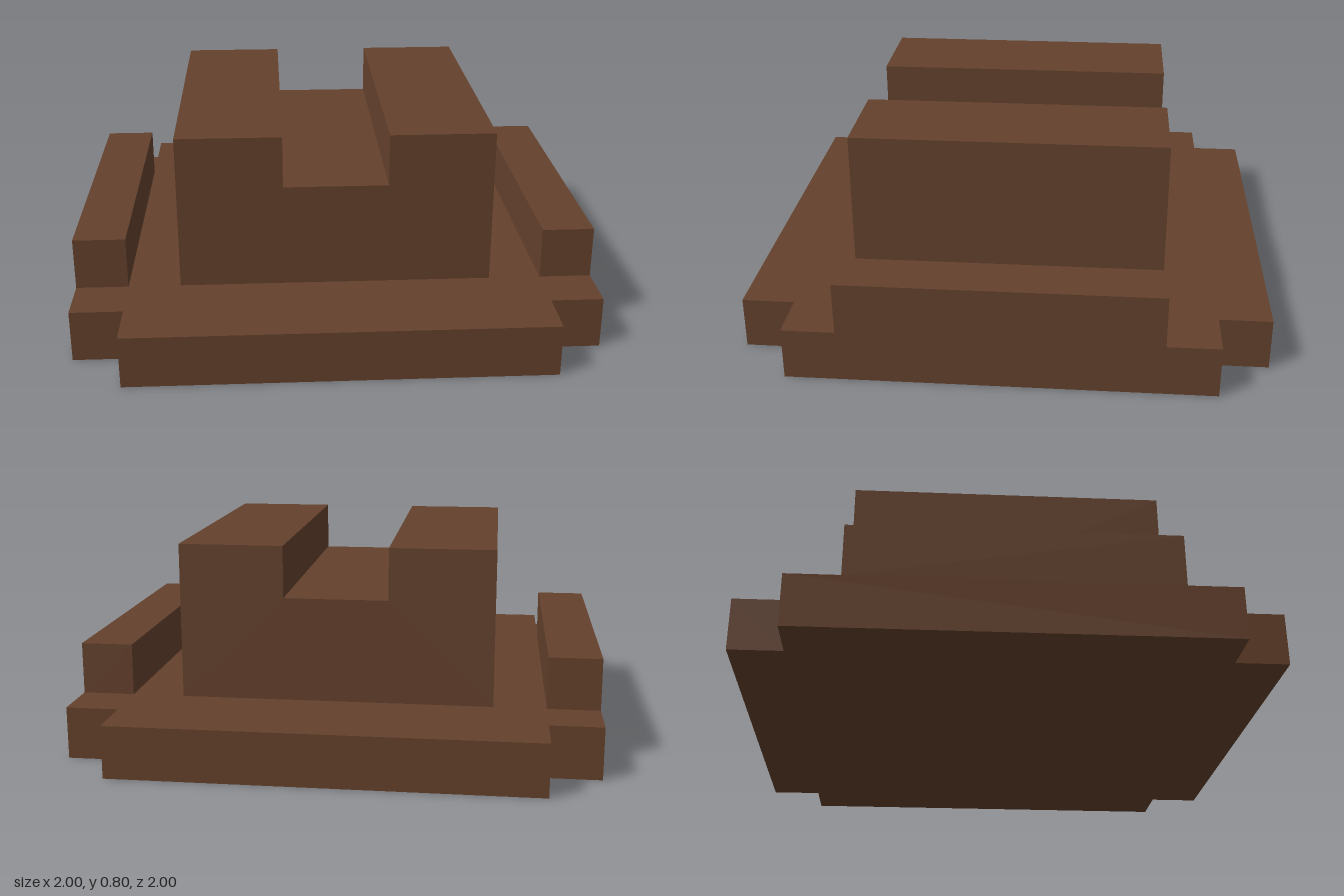
import * as THREE from 'three';

// Build a shape from a list of corner points
function outline(points) {
  return new THREE.Shape(points.map(([x, y]) => new THREE.Vector2(x, y)));
}

function extrude(points, depth) {
  return new THREE.ExtrudeGeometry(outline(points), { depth, bevelEnabled: false });
}

export function createModel() {
  const model = new THREE.Group();
  model.name = 'notchedBlock';
  const brown = new THREE.MeshStandardMaterial({ color: 0x64412c });
  brown.name = 'brown';

  function add(name, geometry) {
    const mesh = new THREE.Mesh(geometry, brown);
    mesh.name = name;
    model.add(mesh);
    return mesh;
  }

  // Base plate with square notches at its four corners
  const plate = extrude([
    [-0.8, -1], [0.8, -1], [0.8, -0.8], [1, -0.8], [1, 0.8], [0.8, 0.8],
    [0.8, 1], [-0.8, 1], [-0.8, 0.8], [-1, 0.8], [-1, -0.8], [-0.8, -0.8],
  ], 0.2);
  plate.rotateX(-Math.PI / 2);
  add('basePlate', plate);

  // Central block with a channel running front to back
  const block = extrude([
    [-0.6, 0.2], [0.6, 0.2], [0.6, 0.8], [0.2, 0.8],
    [0.2, 0.6], [-0.2, 0.6], [-0.2, 0.8], [-0.6, 0.8],
  ], 1.2);
  block.translate(0, 0, -0.6);
  add('channelBlock', block);

  // Low rails along both sides
  for (const side of [-1, 1]) {
    const rail = add(side > 0 ? 'leftRail' : 'rightRail', new THREE.BoxGeometry(0.2, 0.2, 1.2));
    rail.position.set(side * 0.9, 0.3, 0);
  }

  return model;
}
